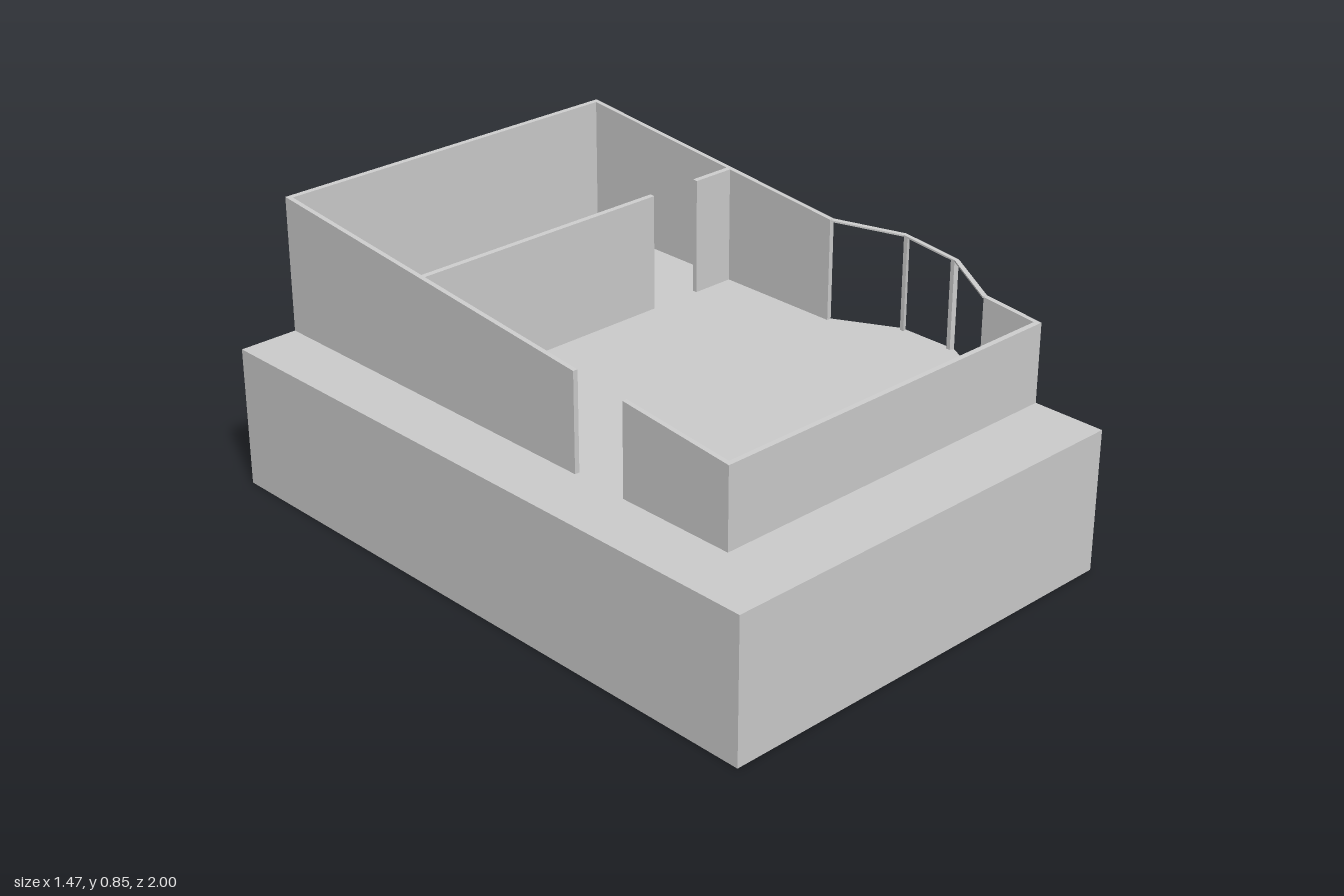
import * as THREE from 'three';

const FLOOR = 0.43;
const X0 = -0.55, X1 = 0.632;          // outer faces of the side walls
const BACK = -1, FRONT = 0.775, T = 0.015;
const BAY = [[X1, 0.012], [0.733, 0.2], [0.733, 0.397], [X1, 0.585]];
const BAY_IN = [[X1 - T, 0.016], [0.719, 0.204], [0.719, 0.393], [X1 - T, 0.581]];

const slope = z => 0.845 - (z - BACK) * 0.0986; // line of the sloping wall tops

const material = new THREE.MeshStandardMaterial({ color: 0xcccccc, flatShading: true, side: THREE.DoubleSide });

const planShape = pts => new THREE.Shape(pts.map(([x, z]) => new THREE.Vector2(x, -z)));
const rect = (xa, xb, za, zb) => [[xa, zb], [xb, zb], [xb, za], [xa, za]];
const lerp = (a, b, t) => [a[0] + (b[0] - a[0]) * t, a[1] + (b[1] - a[1]) * t];

// Prism over a plan outline; its top follows the slope
function prism(name, plan, bottom = () => FLOOR) {
  const g = new THREE.ExtrudeGeometry(planShape(plan), { depth: 1, bevelEnabled: false });
  g.rotateX(-Math.PI / 2);
  const p = g.attributes.position;
  for (let i = 0; i < p.count; i++) {
    const z = p.getZ(i);
    p.setY(i, p.getY(i) > 0.5 ? slope(z) : bottom(z));
  }
  g.computeVertexNormals();
  const mesh = new THREE.Mesh(g, material);
  mesh.name = name;
  return mesh;
}

// Plinth: side skirt and deck, open underneath
function plinth() {
  const group = new THREE.Group();
  group.name = 'plinth';
  const plan = [[-0.735, 1], [X1, 1], ...[...BAY].reverse(), [X1, BACK], [-0.735, BACK]];
  const pos = [];
  plan.forEach(([ax, az], i) => {
    const [bx, bz] = plan[(i + 1) % plan.length];
    pos.push(ax, 0, az, bx, 0, bz, bx, FLOOR, bz, ax, 0, az, bx, FLOOR, bz, ax, FLOOR, az);
  });
  const g = new THREE.BufferGeometry();
  g.setAttribute('position', new THREE.Float32BufferAttribute(pos, 3));
  g.computeVertexNormals();
  const skirt = new THREE.Mesh(g, material);
  skirt.name = 'plinthSides';

  const top = new THREE.ShapeGeometry(planShape(plan));
  top.rotateX(-Math.PI / 2).translate(0, FLOOR, 0);
  const deck = new THREE.Mesh(top, material);
  deck.name = 'deck';
  group.add(skirt, deck);
  return group;
}

// Bay window: corner posts and a thin head rail
function bayWindow() {
  const group = new THREE.Group();
  group.name = 'bayWindow';
  for (let i = 0; i < 3; i++) {
    const plan = [BAY[i], BAY_IN[i], BAY_IN[i + 1], BAY[i + 1]];
    group.add(prism('headRail', plan, z => slope(z) - 0.005));
  }
  for (const [i, side] of [[1, 2], [2, 1]]) {
    const plan = [BAY[i], lerp(BAY[i], BAY[side], 0.07), lerp(BAY_IN[i], BAY_IN[side], 0.07), BAY_IN[i]];
    group.add(prism('bayPost', plan));
  }
  return group;
}

export function createModel() {
  const model = new THREE.Group();
  model.name = 'house';
  model.add(plinth());

  // Outer walls, with a door gap on one side and the bay on the other
  model.add(
    prism('backWall', rect(X0, X1, BACK, BACK + T)),
    prism('frontWall', rect(X0, X1, FRONT - T, FRONT)),
    prism('rightRearWall', rect(X0, X0 + T, BACK + T, 0.217)),
    prism('rightFrontWall', rect(X0, X0 + T, 0.4, FRONT - T)),
    prism('leftRearWall', rect(X1 - T, X1, BACK + T, BAY[0][1])),
    prism('leftFrontWall', rect(X1 - T, X1, BAY[3][1], FRONT - T)),
  );

  // Inner partition with a doorway
  model.add(
    prism('partitionLong', rect(X0 + T, 0.308, -0.41, -0.395)),
    prism('partitionShort', rect(0.48, X1 - T, -0.41, -0.395)),
  );

  model.add(bayWindow());
  return model;
}
